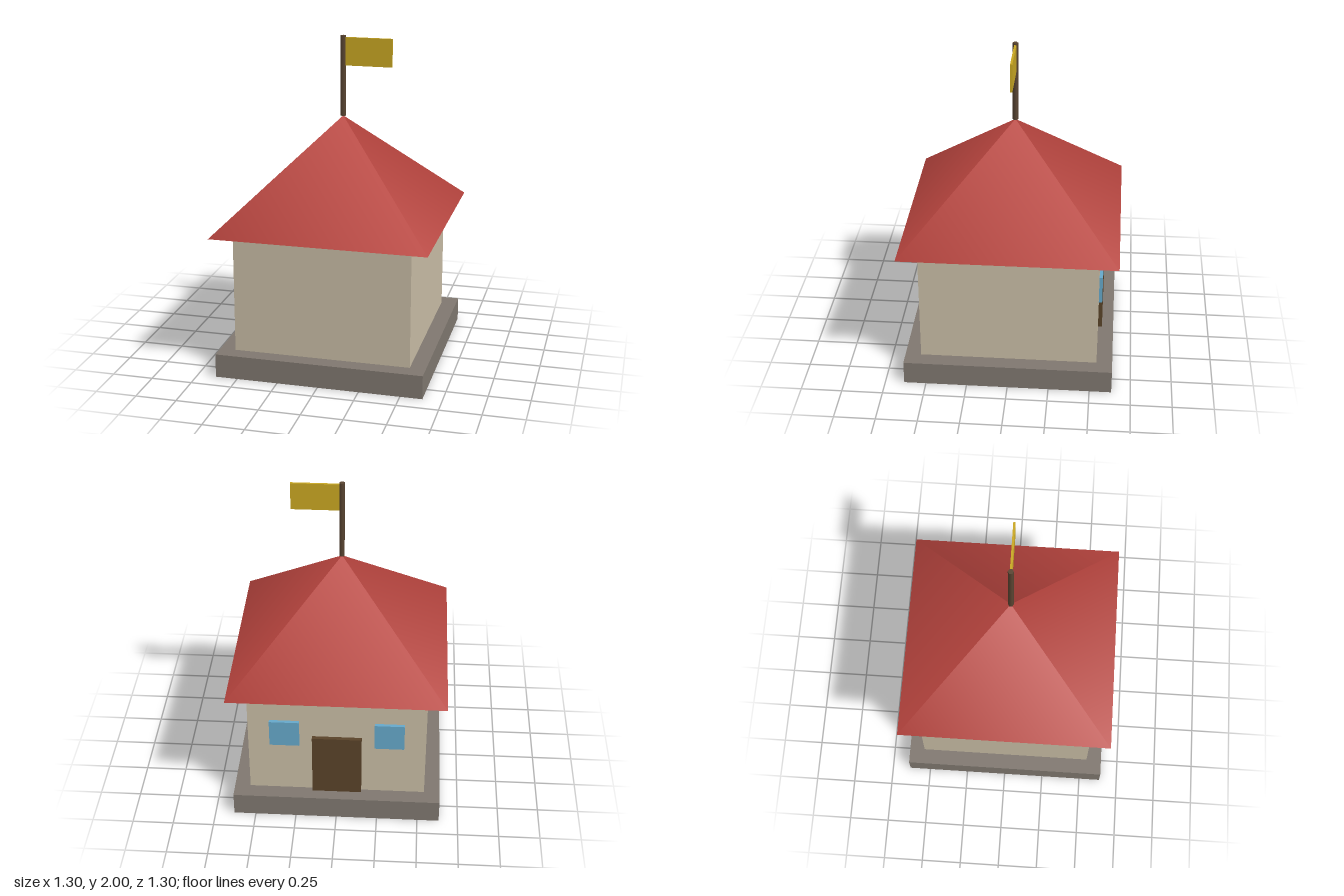
import * as THREE from 'three';

const mat = (name, color) => {
  const m = new THREE.MeshStandardMaterial({ color });
  m.name = name;
  return m;
};

export function createModel() {
  const stone = mat('stone', 0x807870);
  const plaster = mat('plaster', 0xcabea6);
  const roofRed = mat('roofRed', 0xb5433d);
  const wood = mat('wood', 0x5a4329);
  const glass = mat('glass', 0x66a9cb);
  const poleBrown = mat('poleBrown', 0x5a4532);
  const flagYellow = mat('flagYellow', 0xc9a722);

  const house = new THREE.Group();
  house.name = 'house';

  const add = (name, geometry, material, x, y, z) => {
    const mesh = new THREE.Mesh(geometry, material);
    mesh.name = name;
    mesh.position.set(x, y, z);
    house.add(mesh);
    return mesh;
  };
  // Box given by its centre in x and z and its bottom and top heights
  const box = (name, material, x, z, width, depth, bottom, top) =>
    add(name, new THREE.BoxGeometry(width, top - bottom, depth), material, x, (bottom + top) / 2, z);

  // Base and walls
  box('plinth', stone, 0, 0, 1.268, 1.268, 0, 0.146);
  box('walls', plaster, 0, 0, 1.076, 1.076, 0.146, 0.884);

  // Four-sided roof with a closed underside
  const roof = add('roof', new THREE.ConeGeometry(0.652 * Math.SQRT2, 0.63, 4), roofRed, 0, 1.197, 0);
  roof.rotation.y = Math.PI / 4;

  // Door and windows on the back wall
  box('door', wood, 0, -0.549, 0.3, 0.028, 0.146, 0.56);
  for (const side of [-1, 1]) {
    box(side > 0 ? 'leftWindow' : 'rightWindow', glass, side * 0.317, -0.547, 0.18, 0.024, 0.498, 0.673);
  }

  // Flagpole and flag
  add('flagpole', new THREE.CylinderGeometry(0.017, 0.017, 0.488, 6), poleBrown, 0, 1.756, 0);
  box('flag', flagYellow, 0.157, 0, 0.286, 0.013, 1.82, 1.99);

  return house;
}
